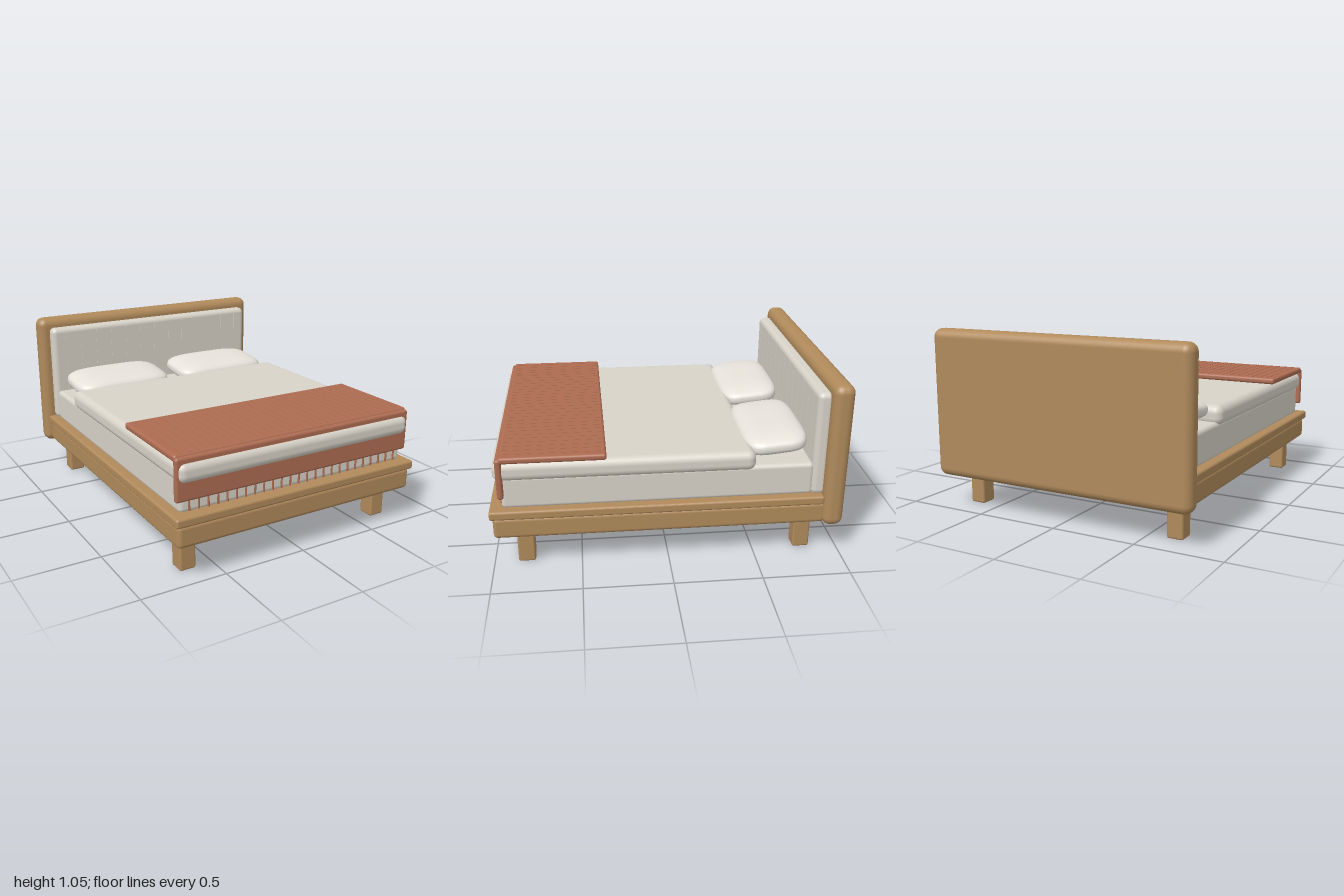
import * as THREE from 'three';
import { RoundedBoxGeometry } from 'three/addons/geometries/RoundedBoxGeometry.js';
import { mergeVertices } from 'three/addons/utils/BufferGeometryUtils.js';

const mat = (color) => new THREE.MeshStandardMaterial({ color });
const wood = mat(0xb08a5b);
const linen = mat(0xd8d3c8);
const pillowCloth = mat(0xe6e2da);
const wool = mat(0xad6c52);

// Rounded box given by its [min, max] range on each axis
function block(name, material, [x0, x1], [y0, y1], [z0, z1], radius, segments = 4) {
  const geometry = new RoundedBoxGeometry(x1 - x0, y1 - y0, z1 - z0, segments, radius);
  const mesh = new THREE.Mesh(geometry, material);
  mesh.name = name;
  mesh.position.set((x0 + x1) / 2, (y0 + y1) / 2, (z0 + z1) / 2);
  return mesh;
}

// Plump cushion: a sphere squared off in plan and softly in section
function cushionGeometry(hx, hy, hz) {
  const soft = (v, e) => Math.sign(v) * Math.pow(Math.abs(v), e);
  let geometry = new THREE.SphereGeometry(1, 56, 32);
  const p = geometry.attributes.position;
  for (let i = 0; i < p.count; i++) {
    const y = THREE.MathUtils.clamp(p.getY(i), -1, 1);
    const ring = Math.sqrt(1 - y * y);
    const angle = Math.atan2(p.getZ(i), p.getX(i));
    const r = soft(ring, 0.6);
    p.setXYZ(i, hx * r * soft(Math.cos(angle), 0.45), hy * soft(y, 0.75), hz * r * soft(Math.sin(angle), 0.45));
  }
  geometry.deleteAttribute('normal');
  geometry.deleteAttribute('uv');
  geometry = mergeVertices(geometry, 1e-5);
  geometry.computeVertexNormals();
  return geometry;
}

export function createModel() {
  const bed = new THREE.Group();
  bed.name = 'bed';

  // Wooden frame
  bed.add(
    block('baseFrame', wood, [-0.775, 0.775], [0.2, 0.33], [-0.9, 0.985], 0.025),
    block('topRail', wood, [-0.79, 0.79], [0.325, 0.378], [-0.885, 1], 0.014),
    block('headboard', wood, [-0.815, 0.815], [0.19, 1.05], [-1, -0.88], 0.05, 6),
  );
  for (const x of [-0.655, 0.655]) {
    for (const z of [-0.79, 0.815]) {
      bed.add(block('leg', wood, [x - 0.048, x + 0.048], [0, 0.22], [z - 0.049, z + 0.049], 0.012));
    }
  }

  // Upholstered panel with vertical seams
  bed.add(block('headboardPanel', linen, [-0.75, 0.75], [0.37, 0.99], [-0.9, -0.813], 0.032));
  const seam = new THREE.BoxGeometry(0.005, 0.56, 0.006);
  for (let i = -6; i <= 6; i++) {
    const mesh = new THREE.Mesh(seam, linen);
    mesh.name = 'panelSeam';
    mesh.position.set(i * 0.11, 0.68, -0.814);
    bed.add(mesh);
  }

  // Bedding
  bed.add(
    block('mattress', linen, [-0.738, 0.738], [0.37, 0.566], [-0.825, 0.93], 0.025),
    block('duvet', linen, [-0.756, 0.756], [0.54, 0.656], [-0.49, 0.97], 0.045),
  );
  const cushion = cushionGeometry(0.325, 0.066, 0.187);
  for (const side of [-1, 1]) {
    const pillow = new THREE.Mesh(cushion, pillowCloth);
    pillow.name = side > 0 ? 'leftPillow' : 'rightPillow';
    pillow.position.set(side * 0.375, 0.646, -0.628);
    pillow.rotation.x = 0.1;
    bed.add(pillow);
  }

  // Folded throw with its front drop
  bed.add(
    block('throwTop', wool, [-0.765, 0.765], [0.655, 0.693], [0.345, 0.93], 0.015),
    block('throwDrop', wool, [-0.765, 0.765], [0.44, 0.682], [0.913, 0.949], 0.015),
  );

  // Knitted ribs on the throw and tassels below it
  const rib = new THREE.BoxGeometry(0.006, 0.004, 0.55);
  const tassel = new THREE.CylinderGeometry(0.005, 0.006, 0.065, 8);
  for (let i = -14; i <= 14; i++) {
    const mesh = new THREE.Mesh(rib, wool);
    mesh.name = 'throwRib';
    mesh.position.set(i * 0.051, 0.6925, 0.637);
    bed.add(mesh);
  }
  for (let i = -12; i <= 12; i++) {
    const mesh = new THREE.Mesh(tassel, wool);
    mesh.name = 'tassel';
    mesh.position.set(i * 0.057, 0.415, 0.935);
    bed.add(mesh);
  }

  return bed;
}
